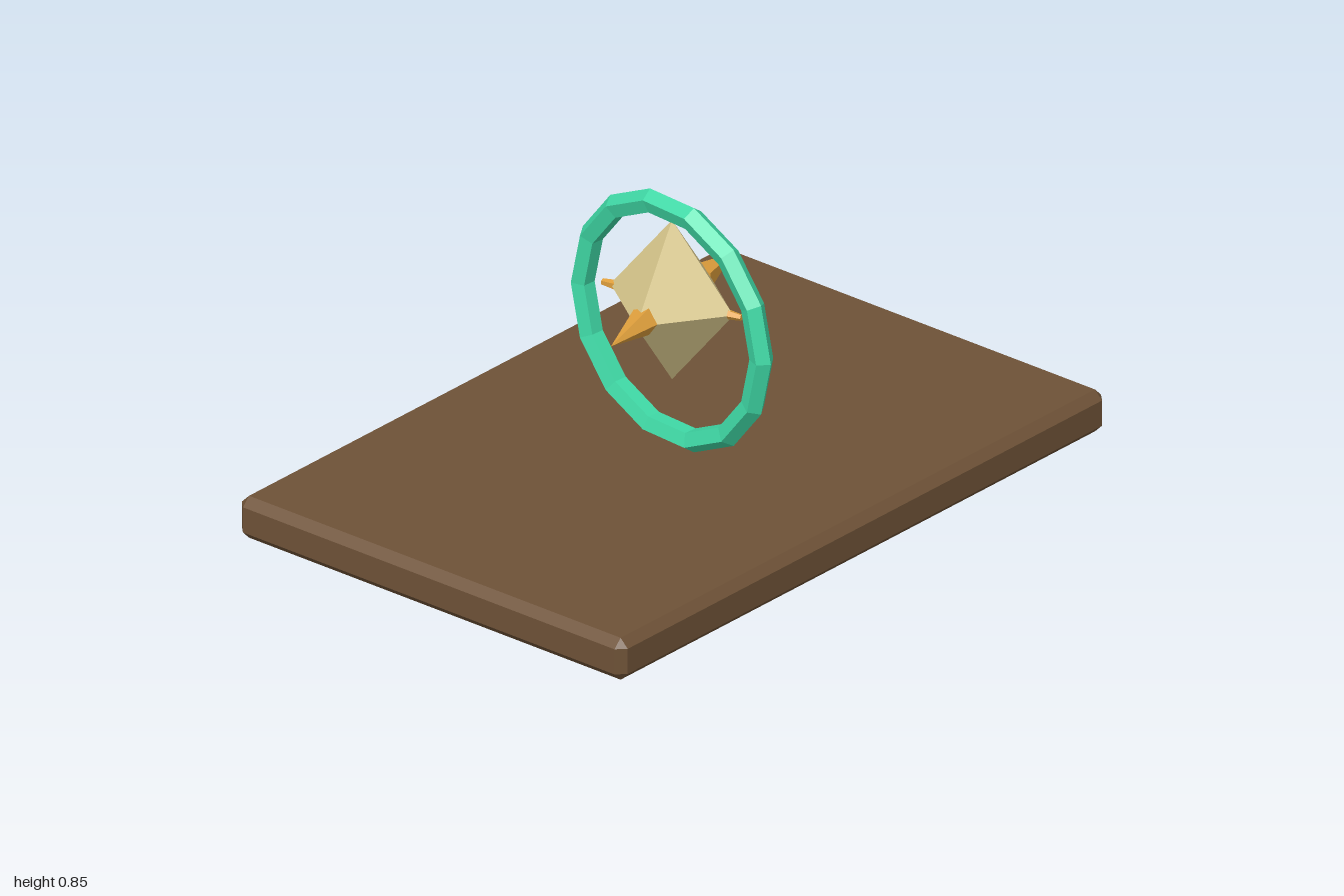
import * as THREE from 'three';
import { ConvexGeometry } from 'three/addons/geometries/ConvexGeometry.js';

const material = (name, color) => {
  const m = new THREE.MeshStandardMaterial({ color, flatShading: true });
  m.name = name;
  return m;
};

function addMesh(parent, name, geometry, mat) {
  const mesh = new THREE.Mesh(geometry, mat);
  mesh.name = name;
  parent.add(mesh);
  return mesh;
}

// Box with every edge and corner chamfered, centred on the origin
function chamferedBox(w, h, d, c) {
  const points = [];
  for (const sx of [-1, 1]) for (const sy of [-1, 1]) for (const sz of [-1, 1]) {
    const x = sx * w / 2, y = sy * h / 2, z = sz * d / 2;
    points.push(
      new THREE.Vector3(x, y - sy * c, z - sz * c),
      new THREE.Vector3(x - sx * c, y, z - sz * c),
      new THREE.Vector3(x - sx * c, y - sy * c, z));
  }
  return new ConvexGeometry(points);
}

export function createModel() {
  const wood = material('brown wood', 0x6e5237);
  const jade = material('jade green', 0x3fd8a5);
  const cream = material('pale gold', 0xd8c78c);
  const amber = material('amber', 0xdf9f3c);

  const model = new THREE.Group();
  model.name = 'crystalOnBoard';

  // Board
  addMesh(model, 'board', chamferedBox(2, 0.125, 1.355, 0.025), wood).position.y = 0.0625;

  // Upright ring standing on the board
  const ring = addMesh(model, 'ring', new THREE.TorusGeometry(0.34, 0.034, 5, 14), jade);
  ring.position.y = 0.49;
  ring.rotation.y = Math.PI / 2 - 0.08;

  // Floating crystal, slightly turned
  const crystal = new THREE.Group();
  crystal.name = 'crystal';
  crystal.position.y = 0.552;
  crystal.rotation.y = 0.18;
  model.add(crystal);
  addMesh(crystal, 'crystalBody', new THREE.OctahedronGeometry(0.19).scale(1, 1.25, 1), cream);

  // Long spikes on the sides, short studs at front and back
  const spike = new THREE.ConeGeometry(0.042, 0.18, 5)
    .rotateY(Math.PI).rotateZ(-Math.PI / 2).translate(0.235, 0, 0);
  const stud = new THREE.CylinderGeometry(0.009, 0.015, 0.05, 5)
    .rotateZ(-Math.PI / 2).translate(0.19, 0, 0);
  ['left', 'back', 'right', 'front'].forEach((side, i) => {
    const long = i % 2 === 0;
    const mesh = addMesh(crystal, side + (long ? 'Spike' : 'Stud'), long ? spike : stud, amber);
    mesh.rotation.y = i * Math.PI / 2;
  });

  return model;
}
